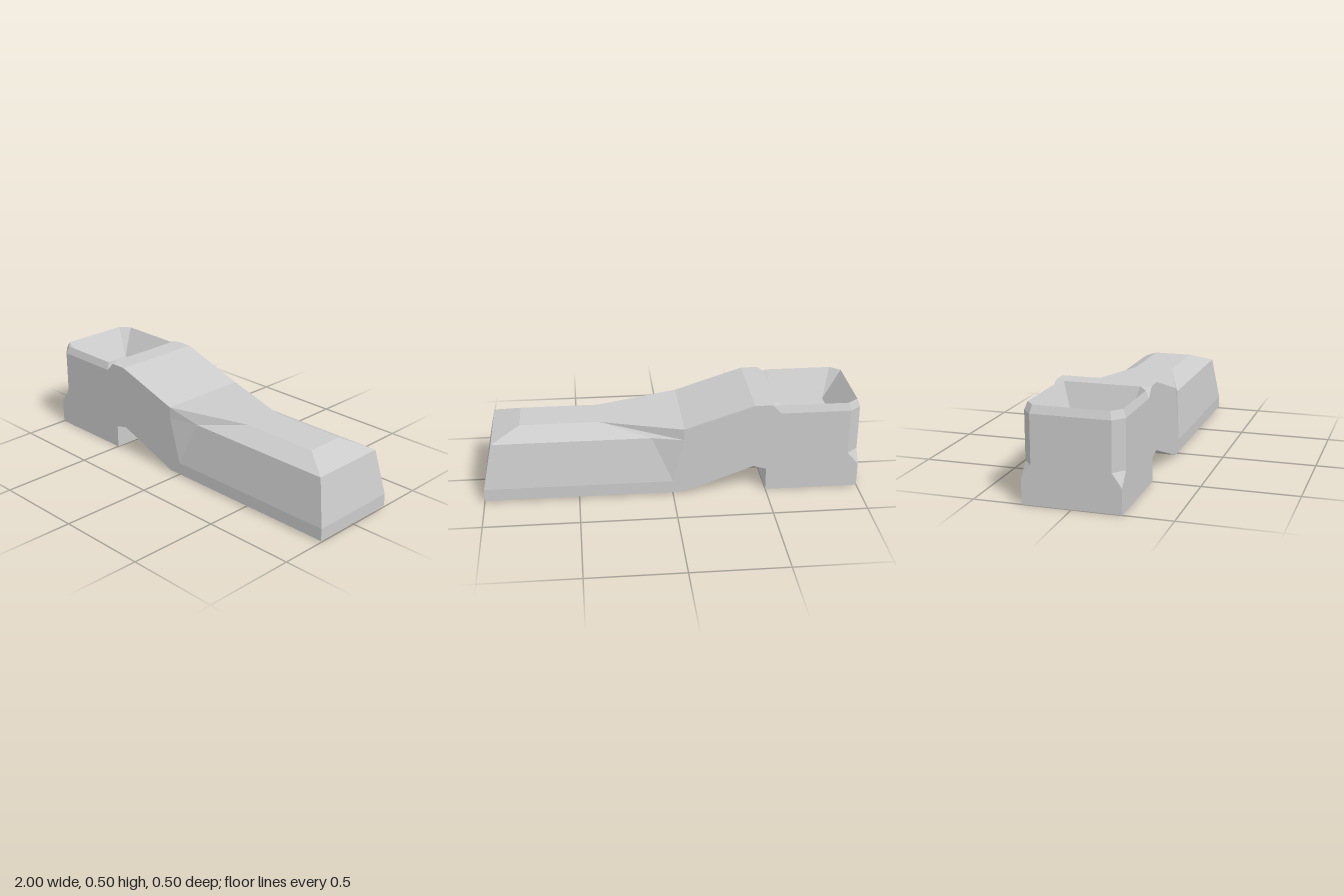
import * as THREE from 'three';

const material = new THREE.MeshStandardMaterial({ color: 0xcccccc, flatShading: true });

// Full ring from the points of its +z half: half, then mirrored half in reverse
const ring = (half) => {
  const pts = half.map((p) => new THREE.Vector3(...p));
  return [...pts, ...pts.map((p) => new THREE.Vector3(p.x, p.y, -p.z)).reverse()];
};

// Skin between successive rings, with optional caps; skip(k, j) leaves a quad open
function loft(name, halves, { startCap = false, endCap = false, skip = () => false } = {}) {
  const rings = halves.map(ring), n = rings[0].length, pos = [];
  const tri = (a, b, c) => {
    const area = b.clone().sub(a).cross(c.clone().sub(a)).length();
    if (area > 1e-7) for (const p of [a, b, c]) pos.push(p.x, p.y, p.z);
  };
  const quad = (a, b, c, d) => { tri(a, b, c); tri(a, c, d); };
  for (let k = 0; k < rings.length - 1; k++) {
    const a = rings[k], b = rings[k + 1];
    for (let j = 0; j < n; j++) {
      const i = (j + 1) % n;
      if (!skip(k, j)) quad(a[j], a[i], b[i], b[j]);
    }
  }
  // Caps are strips joining each point to its mirror
  const cap = (r, flip) => {
    for (let i = 0; i < n / 2 - 1; i++) {
      const q = [r[i], r[i + 1], r[n - 2 - i], r[n - 1 - i]];
      quad(...(flip ? q.reverse() : q));
    }
  };
  if (startCap) cap(rings[0], true);
  if (endCap) cap(rings[rings.length - 1], false);
  const geometry = new THREE.BufferGeometry();
  geometry.setAttribute('position', new THREE.Float32BufferAttribute(pos, 3));
  geometry.computeVertexNormals();
  const mesh = new THREE.Mesh(geometry, material);
  mesh.name = name;
  return mesh;
}

export function createModel() {
  const group = new THREE.Group();
  group.name = 'steppedBlock';

  // Square foot rising to a chamfered rim, then down into a sloped basin
  const square = (y) => [[-1, y, 0.25], [-1, y, 0.25], [-0.57, y, 0.25], [-0.5, y, 0.25]];
  group.add(loft('hollowEnd', [
    square(0),
    square(0.13),
    [[-1, 0.2, 0.2], [-0.94, 0.2, 0.25], [-0.57, 0.2, 0.25], [-0.505, 0.2, 0.25]],
    [[-1, 0.45, 0.2], [-0.94, 0.45, 0.25], [-0.57, 0.45, 0.25], [-0.52, 0.5, 0.25]],
    [[-0.985, 0.49, 0.19], [-0.93, 0.49, 0.235], [-0.575, 0.49, 0.235], [-0.545, 0.5, 0.2]],
    [[-0.88, 0.34, 0.145], [-0.88, 0.34, 0.145], [-0.59, 0.34, 0.145], [-0.59, 0.34, 0.145]],
  ], { startCap: true, endCap: true, skip: (k, j) => j === 3 && (k === 1 || k === 2) }));

  // Sloping neck: top, shoulder, low and bottom point of each section
  const neckEnd = [[-0.06, 0.38, 0.25], [-0.06, 0.318, 0.25], [0, 0.075, 0.25], [-0.06, 0.008, 0.25]];
  group.add(loft('neck', [
    [[-0.52, 0.5, 0.25], [-0.515, 0.4, 0.25], [-0.505, 0.2, 0.25], [-0.5, 0.125, 0.25]],
    [[-0.43, 0.5, 0.25], [-0.43, 0.38, 0.25], [-0.43, 0.25, 0.25], [-0.43, 0.145, 0.25]],
    neckEnd,
  ]));

  // Long low body with tapered sides and a bevelled top
  group.add(loft('longBody', [
    neckEnd,
    [[0.38, 0.375, 0.107], [0.11, 0.32, 0.213], [0.01, 0.075, 0.25], [0.1, 0.008, 0.25]],
    [[0.8, 0.375, 0.107], [0.95, 0.32, 0.213], [1, 0.075, 0.25], [1, 0.008, 0.25]],
  ], { endCap: true }));

  return group;
}
